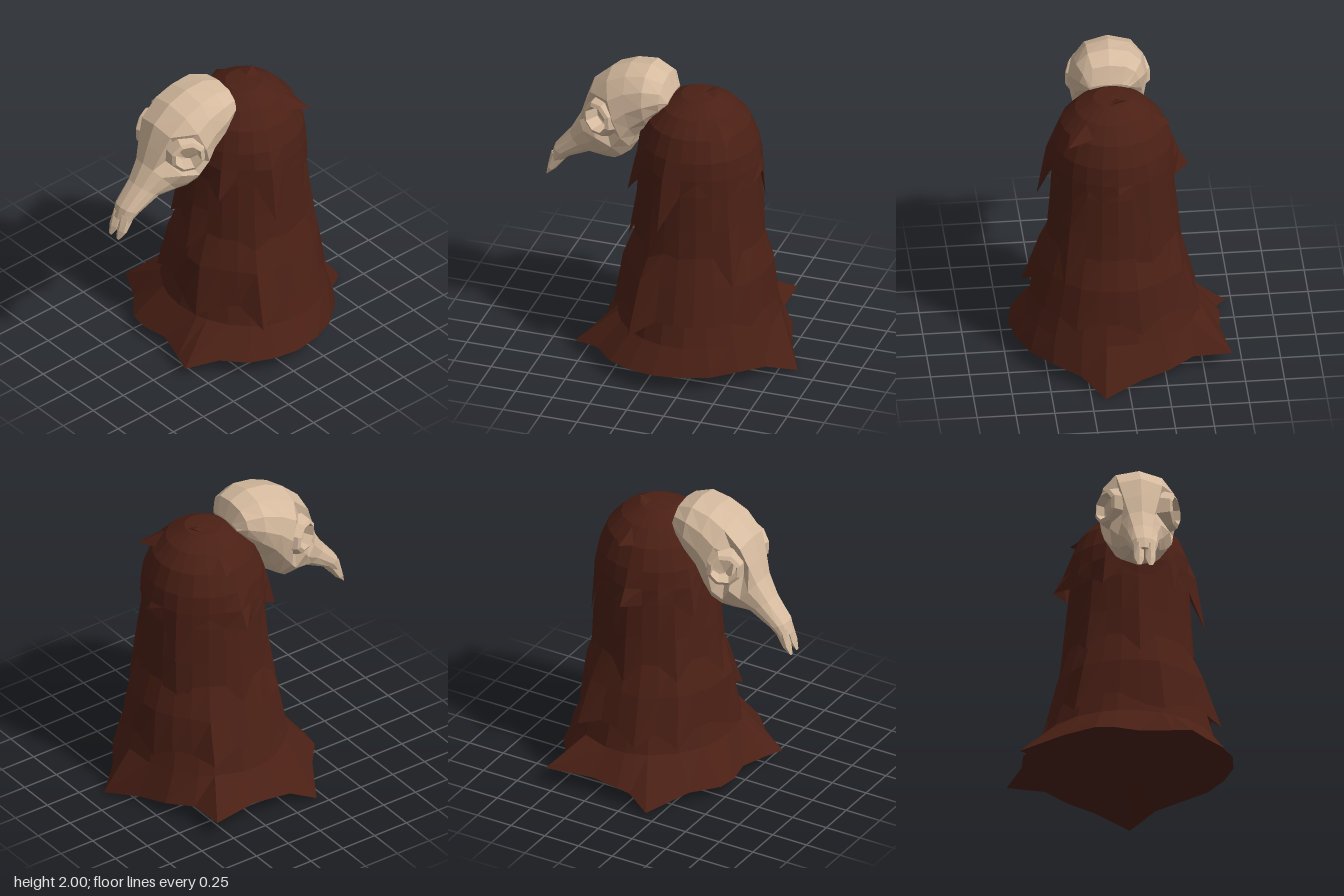
import * as THREE from 'three';

const fur = new THREE.MeshStandardMaterial({ color: 0x4b2015, flatShading: true, side: THREE.DoubleSide });
const bone = new THREE.MeshStandardMaterial({ color: 0xd6bb9f, flatShading: true, side: THREE.DoubleSide });

// Skin rows of points, each row a closed ring
function loft(rows) {
  const n = rows[0].length, pos = [], idx = [];
  rows.forEach(r => r.forEach(p => pos.push(...p)));
  for (let i = 0; i < rows.length - 1; i++) {
    for (let j = 0; j < n; j++) {
      const k = (j + 1) % n, a = i * n + j, b = i * n + k, c = a + n, d = b + n;
      idx.push(a, c, b, b, c, d);
    }
  }
  const g = new THREE.BufferGeometry();
  g.setAttribute('position', new THREE.Float32BufferAttribute(pos, 3));
  g.setIndex(idx);
  g.computeVertexNormals();
  return g;
}

function add(group, name, geometry, material) {
  const mesh = new THREE.Mesh(geometry, material);
  mesh.name = name;
  group.add(mesh);
  return mesh;
}

// Point round the cloak's axis, 0 degrees at the front; the lower cloak is a little shallower
const CX = 0.05, CZ = -0.17, SEG = 24;
const around = (deg, r, y) => {
  const a = THREE.MathUtils.degToRad(deg), depth = y < 0.65 ? 0.93 : 1;
  return [CX + r * Math.sin(a), y, CZ + depth * r * Math.cos(a)];
};

// Fur layer: rings from [radius, y], the last ring pulled into tips {degrees: [radius, y]},
// with the ring above lifted towards each tip
function furLayer(profile, tips) {
  const last = profile.length - 1;
  return loft(profile.map(([r, y], i) => Array.from({ length: SEG }, (_, j) => {
    const deg = j * 360 / SEG, tip = tips[deg];
    if (tip && i === last) return around(deg, tip[0], tip[1]);
    if (tip && i === last - 1) return around(deg, r + 0.35 * Math.max(0, tip[0] - profile[last][0]), y);
    return around(deg, r, y);
  })));
}

// Skull section: [top z, top y, bottom z, bottom y, half width]
function section([tz, ty, bz, by, w], offset = 0, n = 12) {
  return Array.from({ length: n }, (_, j) => {
    const a = j * 2 * Math.PI / n, s = Math.sin(a), c = Math.cos(a);
    const z = (tz + bz) / 2 + c * (tz - bz) / 2;
    const y = (ty + by) / 2 + c * (ty - by) / 2;
    let x = w * Math.sign(s) * Math.abs(s) ** 0.8;
    if (Math.hypot(z - 0.46, y - 1.64) < 0.1) x *= 0.6; // hollow behind the eye
    return [0.05 - 0.06 * z + offset + x, y, z];
  });
}
const closeEnds = rows => {
  const mid = r => {
    const m = [0, 1, 2].map(k => r.reduce((s, p) => s + p[k], 0) / r.length);
    return r.map(() => m);
  };
  return [mid(rows[0]), ...rows, mid(rows[rows.length - 1])];
};

function makeCloak() {
  const g = new THREE.Group();
  g.name = 'cloak';

  add(g, 'hood', furLayer(
    [[0, 1.86], [0.12, 1.85], [0.24, 1.78], [0.33, 1.68], [0.385, 1.54], [0.4, 1.42], [0.405, 1.3]],
    { 30: [0.47, 1.2], 45: [0.4, 1.36], 75: [0.49, 1.06], 105: [0.4, 1.4], 135: [0.41, 1.25], 150: [0.4, 1.38],
      180: [0.43, 1.37], 210: [0.43, 1.05], 240: [0.4, 1.38], 270: [0.49, 1.31], 300: [0.42, 1.35],
      330: [0.46, 1.22], 345: [0.4, 1.36] }), fur);

  add(g, 'middleLayer', furLayer(
    [[0.36, 1.5], [0.39, 1.3], [0.405, 1.05], [0.42, 0.87]],
    { 0: [0.48, 0.73], 15: [0.42, 0.88], 60: [0.44, 0.8], 90: [0.42, 0.85], 135: [0.48, 0.65], 165: [0.42, 0.86],
      210: [0.46, 0.62], 240: [0.42, 0.88], 270: [0.45, 0.72], 315: [0.47, 0.77], 330: [0.42, 0.88] }), fur);

  add(g, 'lowerLayer', furLayer(
    [[0.37, 1.05], [0.41, 0.87], [0.47, 0.66], [0.53, 0.42]],
    { 0: [0.54, 0.34], 15: [0.59, 0.3], 30: [0.53, 0.38], 60: [0.64, 0.3], 75: [0.53, 0.42], 150: [0.55, 0.36],
      195: [0.55, 0.34], 240: [0.62, 0.38], 255: [0.53, 0.44], 285: [0.57, 0.33], 315: [0.58, 0.32] }), fur);

  // Ragged hem, ordered from the front round to +x
  const hem = [
    [0.03, 0.08, 0.47], [0.23, 0.07, 0.53], [0.35, 0.06, 0.57], [0.46, 0.1, 0.38], [0.6, 0.1, 0.25],
    [0.68, 0.11, 0.1], [0.71, 0.11, -0.07], [0.68, 0.11, -0.26], [0.6, 0.1, -0.43], [0.47, 0.1, -0.58],
    [0.3, 0.07, -0.7], [0.16, 0.0, -0.87], [-0.08, 0.05, -0.75], [-0.27, 0.08, -0.69], [-0.43, 0.1, -0.58],
    [-0.68, 0.11, -0.58], [-0.63, 0.11, -0.26], [-0.65, 0.1, -0.07], [-0.64, 0.08, 0.02], [-0.71, 0.02, 0.18],
    [-0.44, 0.08, 0.34], [-0.27, 0.08, 0.48], [-0.14, 0.08, 0.5]];
  const ring = (r, y) => hem.map(([x, , z]) =>
    around(THREE.MathUtils.radToDeg(Math.atan2(x - CX, z - CZ)), r, y));
  add(g, 'hemSkirt', loft([ring(0.43, 0.7), ring(0.52, 0.42), ring(0.56, 0.28), hem]), fur);
  add(g, 'underside', loft([hem, hem.map(() => [CX, 0.09, CZ])]), fur);

  // Tufts lifting off the crown: direction, half spread, base [radius, y], root [radius, y], tip
  const tufts = [
    [134, 20, [0.3, 1.71], [0.2, 1.8], [0.36, 1.66, -0.46]],
    [258, 18, [0.31, 1.69], [0.2, 1.8], [-0.32, 1.68, -0.25]],
    [204, 45, [0.11, 1.845], [0.03, 1.855], [0, 1.885, -0.28]]];
  for (const [deg, spread, base, root, tip] of tufts) {
    const foot = [around(deg - spread, ...base), around(deg, ...root), around(deg + spread, ...base)];
    add(g, 'crownTuft', loft([foot, foot.map(() => tip)]), fur);
  }
  return g;
}

function makeSkull() {
  const g = new THREE.Group();
  g.name = 'skull';

  // Braincase, brow and snout
  const stations = [
    [0, 1.83, 0.01, 1.78, 0.13], [0.04, 1.95, 0.06, 1.7, 0.19], [0.16, 2, 0.14, 1.6, 0.235],
    [0.3, 1.985, 0.22, 1.5, 0.245], [0.43, 1.93, 0.25, 1.42, 0.26], [0.55, 1.82, 0.3, 1.34, 0.245],
    [0.6, 1.68, 0.36, 1.3, 0.195], [0.64, 1.55, 0.43, 1.29, 0.145], [0.71, 1.42, 0.55, 1.3, 0.11],
    [0.82, 1.28, 0.7, 1.23, 0.09], [0.845, 1.2, 0.77, 1.17, 0.07]];
  add(g, 'cranium', loft(closeEnds(stations.map(s => section(s)))), bone);

  for (const side of [1, -1]) {
    // Paired beak prongs
    const prong = [[0.835, 1.24, 0.74, 1.2, 0.036], [0.86, 1.13, 0.81, 1.11, 0.036], [0.87, 1.065, 0.86, 1.07, 0.014]];
    add(g, 'beakProng', loft(closeEnds(prong.map(s => section(s, side * 0.037, 6)))), bone);

    // Faceted eye socket rim with a sunken cup
    const cup = [[0.15, -0.1], [0.115, 0], [0.09, 0.012], [0.075, -0.08], [0, -0.11]]
      .map(p => new THREE.Vector2(...p));
    const socket = add(g, 'eyeSocket', new THREE.LatheGeometry(cup, 8), bone);
    socket.position.set(0.025 + side * 0.225, 1.65, 0.46);
    socket.quaternion.setFromUnitVectors(new THREE.Vector3(0, 1, 0),
      new THREE.Vector3(side * 0.9, 0, 0.43).normalize());
  }
  return g;
}

export function createModel() {
  const model = new THREE.Group();
  model.name = 'cloakedSkull';
  model.add(makeCloak(), makeSkull());
  return model;
}
